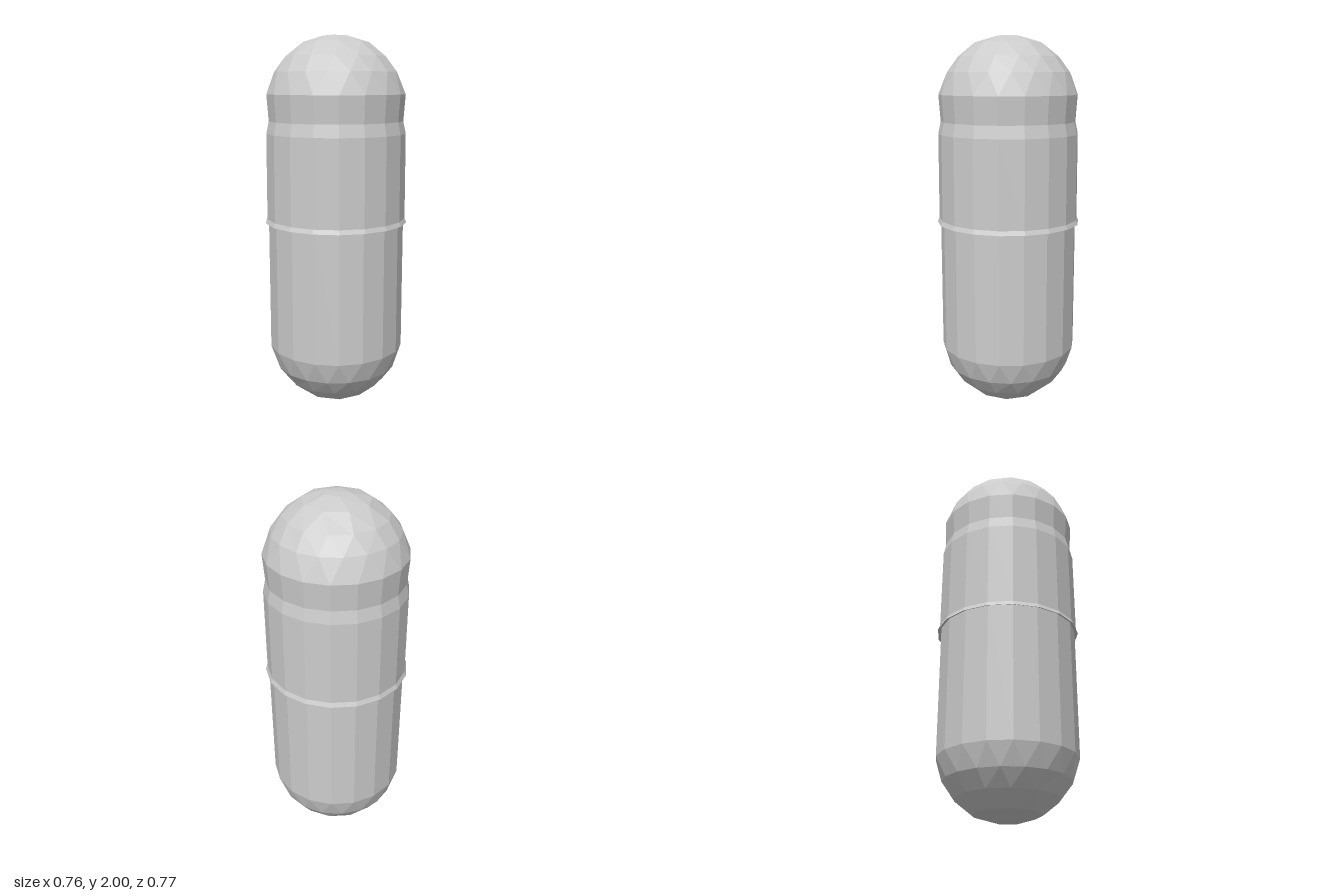
import * as THREE from 'three';

// Stitches rings [y, radius, sides, turn], listed bottom to top, where the
// number of sides may change from ring to ring. One side means a pole.
function loft(name, rings, material) {
  const positions = [], index = [], starts = [];
  for (const [y, r, n, turn] of rings) {
    starts.push(positions.length / 3);
    for (let i = 0; i < n; i++) {
      const a = ((i + turn) / n) * Math.PI * 2;
      positions.push(r * Math.sin(a), y, r * Math.cos(a));
    }
  }
  for (let k = 0; k < rings.length - 1; k++) {
    const [, , n, t] = rings[k], [, , m, u] = rings[k + 1];
    const low = (i) => starts[k] + (i % n), high = (j) => starts[k + 1] + (j % m);
    const lowSteps = n > 1 ? n : 0, highSteps = m > 1 ? m : 0;
    let i = 0, j = 0;
    while (i < lowSteps || j < highSteps) {
      const stepLow = j >= highSteps || (i < lowSteps && (i + 1 + t) / n <= (j + 1 + u) / m);
      if (stepLow) {
        index.push(low(i), low(i + 1), high(j));
        i++;
      } else {
        index.push(low(i), high(j + 1), high(j));
        j++;
      }
    }
  }
  const geometry = new THREE.BufferGeometry();
  geometry.setAttribute('position', new THREE.Float32BufferAttribute(positions, 3));
  geometry.setIndex(index);
  geometry.computeVertexNormals();
  const mesh = new THREE.Mesh(geometry, material);
  mesh.name = name;
  return mesh;
}

export function createModel() {
  const model = new THREE.Group();
  model.name = 'capsule';
  const material = new THREE.MeshStandardMaterial({
    color: 0xcccccc, flatShading: true, side: THREE.DoubleSide,
  });

  // Lower shell: faceted round bottom and straight wall reaching into the cap
  model.add(loft('lowerShell', [
    [0, 0.06, 1, 0],
    [0.005, 0.07, 5, 0.3],
    [0.04, 0.18, 9, 0.1],
    [0.115, 0.27, 14, 0.4],
    [0.2, 0.331, 18, 0.5],
    [0.315, 0.368, 18, 0],
    [1.04, 0.368, 18, 0],
  ].map((ring, i) => (i === 0 ? [0, 0, 1, 0] : ring)), material));

  // Upper cap: flared lip, straight wall, locking groove and faceted dome
  model.add(loft('upperCap', [
    [1.02, 0.368, 18, 0],
    [1.012, 0.386, 18, 0],
    [1.035, 0.376, 18, 0],
    [1.49, 0.374, 18, 0],
    [1.555, 0.36, 18, 0],
    [1.695, 0.37, 18, 0],
    [1.81, 0.325, 18, 0.5],
    [1.89, 0.265, 14, 0.4],
    [1.962, 0.175, 9, 0.1],
    [1.996, 0.065, 5, 0.3],
    [2, 0, 1, 0],
  ], material));

  return model;
}
